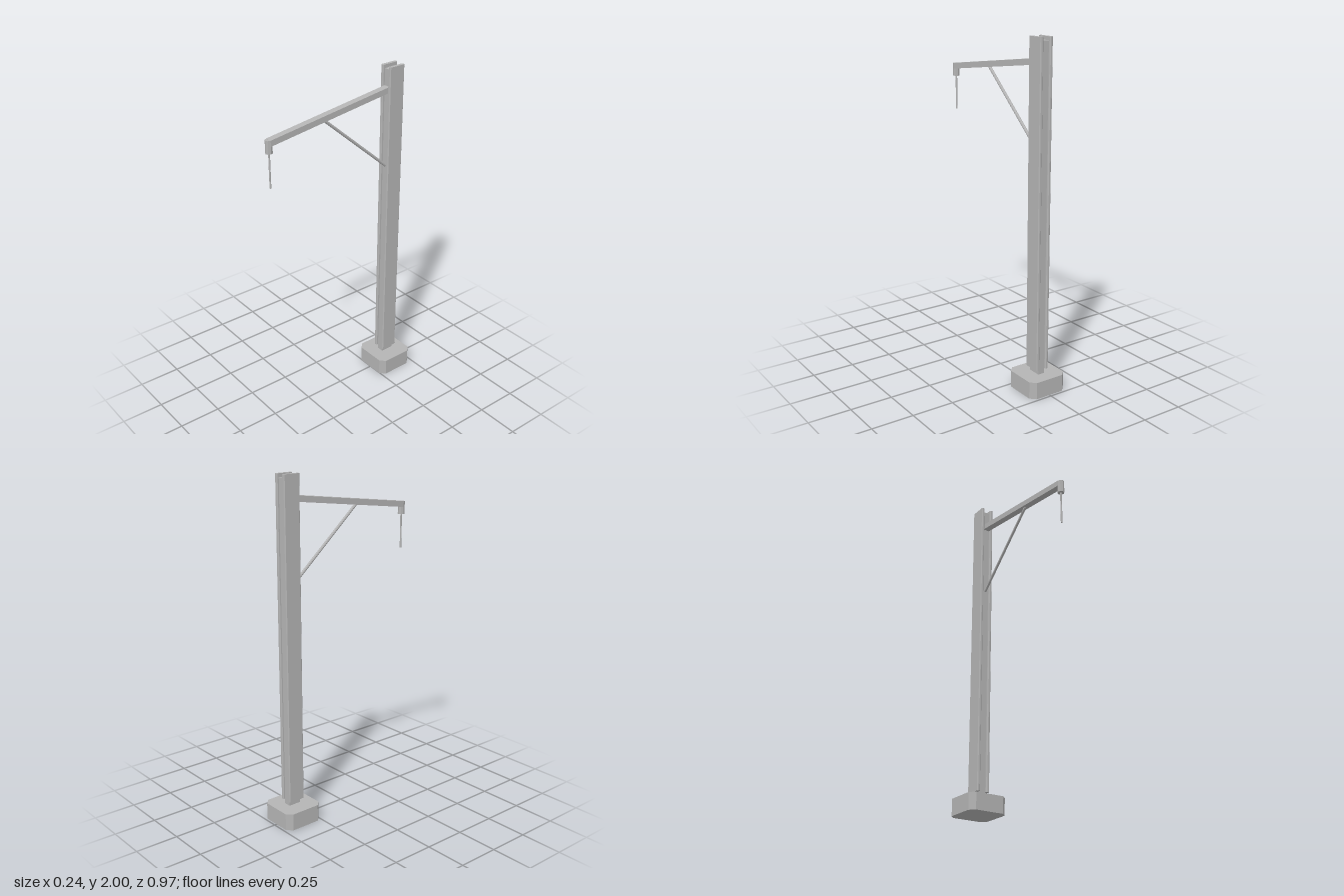
import * as THREE from 'three';

export function createModel() {
  const model = new THREE.Group();
  const steel = new THREE.MeshStandardMaterial({ color: 0xb4b4b4, flatShading: true });
  steel.name = 'grey';

  const add = (name, geometry) => {
    const mesh = new THREE.Mesh(geometry, steel);
    mesh.name = name;
    model.add(mesh);
    return mesh;
  };

  // Upright prism with a rectangular plan and cut corners
  const prism = (w, d, cut, y0, y1) => {
    const a = w / 2, b = d / 2;
    const plan = [
      [a - cut, -b], [a, -b + cut], [a, b - cut], [a - cut, b],
      [-a + cut, b], [-a, b - cut], [-a, -b + cut], [-a + cut, -b],
    ].map(([x, y]) => new THREE.Vector2(x, y));
    return new THREE.ExtrudeGeometry(new THREE.Shape(plan), { depth: y1 - y0, bevelEnabled: false })
      .rotateX(-Math.PI / 2).translate(0, y0, 0);
  };

  // Straight eight-sided rod between two points
  const rod = (name, from, to, radius) => {
    const dir = to.clone().sub(from);
    const mesh = add(name, new THREE.CylinderGeometry(radius, radius, dir.length(), 8));
    mesh.position.copy(from).add(to).multiplyScalar(0.5);
    mesh.quaternion.setFromUnitVectors(new THREE.Vector3(0, 1, 0), dir.normalize());
    return mesh;
  };

  const postZ = -0.366;
  const tipZ = 0.466;

  // Foundation block
  add('foundation', prism(0.24, 0.24, 0.031, 0, 0.1)).position.z = postZ;

  // Post: central web between two flanges
  const web = add('postWeb', new THREE.BoxGeometry(0.042, 1.88, 0.078));
  web.position.set(0, 1.04, postZ - 0.001);
  for (const side of [-1, 1]) {
    const flange = add(side > 0 ? 'leftFlange' : 'rightFlange', prism(0.02, 0.104, 0.005, 0.13, 2));
    flange.position.set(side * 0.0305, 0, postZ);
  }

  // Sloping arm, drawn in side profile (z, y)
  const profile = [[-0.335, 1.85], [tipZ, 1.742], [tipZ, 1.776], [-0.335, 1.884]]
    .map(([z, y]) => new THREE.Vector2(z, y));
  add('arm', new THREE.ExtrudeGeometry(new THREE.Shape(profile), { depth: 0.04, bevelEnabled: false })
    .translate(0, 0, -0.02).rotateY(-Math.PI / 2));

  // Diagonal brace under the arm
  rod('brace', new THREE.Vector3(0, 1.405, -0.33), new THREE.Vector3(0, 1.793, 0.112), 0.0085);

  // Hanger at the arm tip with a dropper rod
  rod('hanger', new THREE.Vector3(0, 1.7, tipZ), new THREE.Vector3(0, 1.775, tipZ), 0.02);
  rod('dropper', new THREE.Vector3(0, 1.5, tipZ), new THREE.Vector3(0, 1.705, tipZ), 0.005);

  return model;
}
